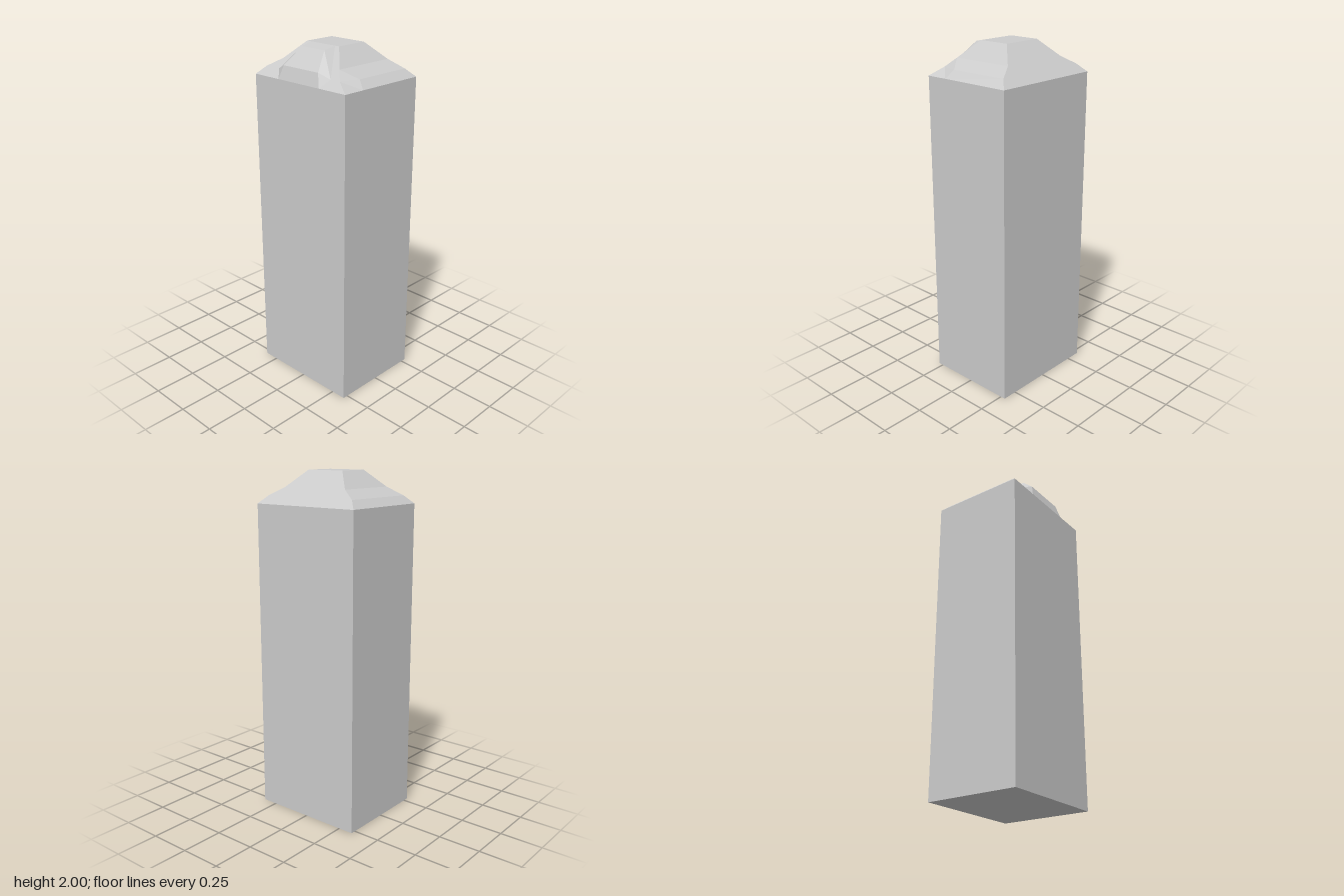
import * as THREE from 'three';

// Flat-shaded mesh from convex polygons, corners counter-clockwise from outside
function facetMesh(name, polygons) {
  const pos = [];
  for (const p of polygons) {
    for (let i = 1; i < p.length - 1; i++) pos.push(...p[0], ...p[i], ...p[i + 1]);
  }
  const geo = new THREE.BufferGeometry();
  geo.setAttribute('position', new THREE.Float32BufferAttribute(pos, 3));
  geo.computeVertexNormals();
  const mat = new THREE.MeshStandardMaterial({ color: 0xcccccc, flatShading: true });
  const mesh = new THREE.Mesh(geo, mat);
  mesh.name = name;
  return mesh;
}

// Rectangle of corners: front right, front left, back left, back right
const ring = (x, y, z) => [[-x, y, z], [x, y, z], [x, y, -z], [-x, y, -z]];

// Quad on side i (0 front, 1 left, 2 back, 3 right) between two rings
const side = (lo, hi, i) => [lo[i], lo[(i + 1) % 4], hi[(i + 1) % 4], hi[i]];

export function createModel() {
  const group = new THREE.Group();
  const base = ring(0.28, 0, 0.34);
  const eaves = ring(0.28, 1.815, 0.34);
  const lower = ring(0.235, 1.86, 0.295);
  const upper = ring(0.188, 1.907, 0.212);
  const top = ring(0.095, 2, 0.12);

  // Tall box body, closed below
  const body = [0, 1, 2, 3].map((i) => side(base, eaves, i));
  body.push([...base].reverse());
  group.add(facetMesh('body', body));

  // Hipped cap: straight side slopes, kinked front and back slopes
  lower[0] = [-0.235, 1.86, 0.26]; // dented front corner
  const roof = [top];
  for (const i of [1, 2, 3]) {
    roof.push(side(eaves, lower, i), side(lower, upper, i));
  }
  for (let i = 0; i < 4; i++) roof.push(side(upper, top, i));
  const eavesMid = [-0.148, 1.815, 0.34];
  const lowerMid = [-0.125, 1.86, 0.295];
  roof.push(
    [eaves[0], eavesMid, lower[0]],
    [eavesMid, lowerMid, lower[0]],
    [eavesMid, eaves[1], lower[1], lowerMid],
    [lower[0], lowerMid, upper[0]],
    [lowerMid, lower[1], upper[1], upper[0]]
  );
  group.add(facetMesh('roof', roof));

  // Raised spout on the right slope, running from the top to the eaves
  const ridge = [[-0.095, 2, 0.09], [-0.167, 1.985, 0.083], [-0.26, 1.89, 0.13], [-0.28, 1.815, 0.153]];
  const foot = [-0.235, 1.86, 0.195];
  const flip = ([x, y, z]) => [x, y, -z];
  const spout = [];
  for (let i = 0; i < 3; i++) {
    const a = ridge[i], b = ridge[i + 1];
    spout.push([foot, a, b], [flip(foot), flip(b), flip(a)], [b, a, flip(a), flip(b)]);
  }
  group.add(facetMesh('spout', spout));

  return group;
}
